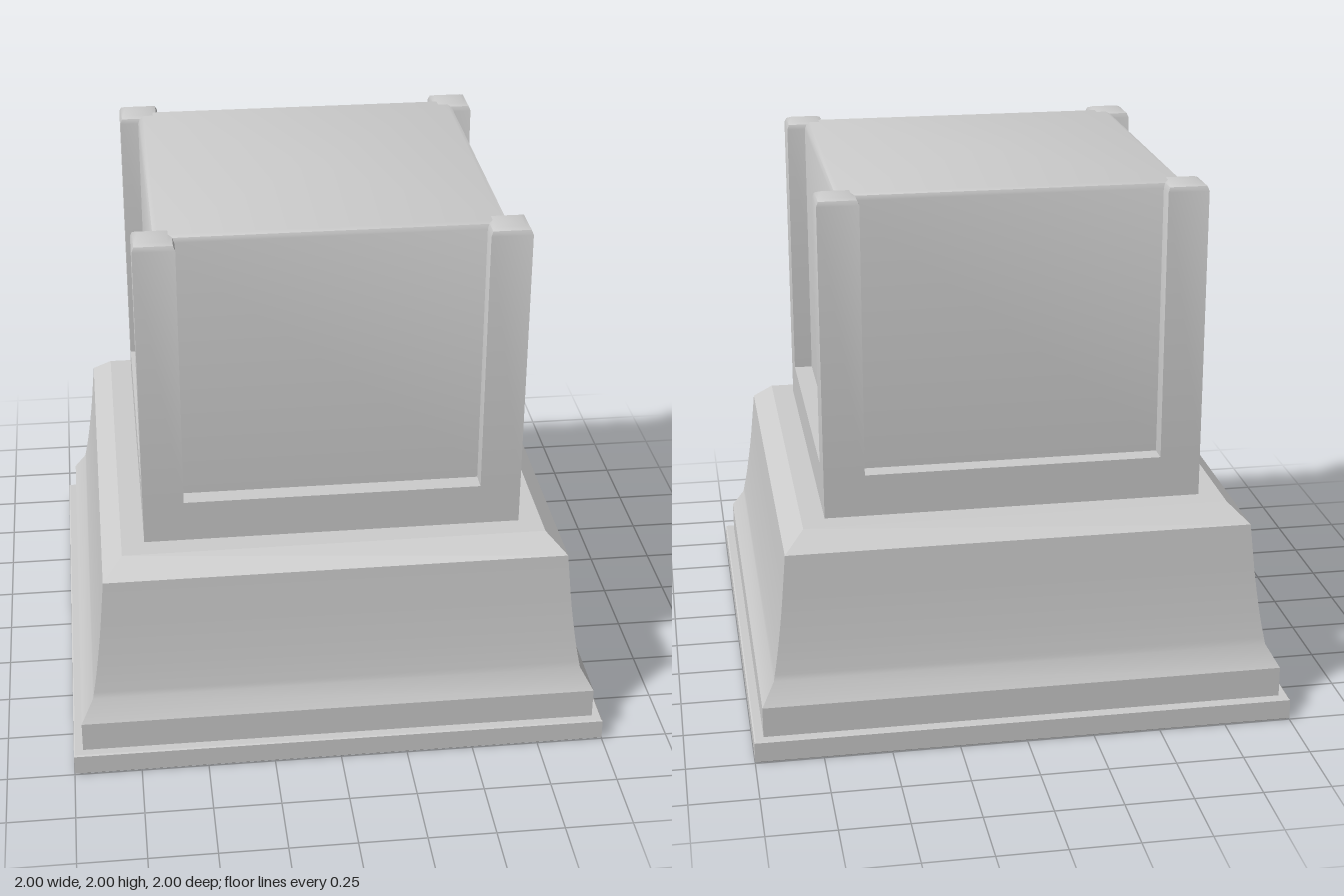
import * as THREE from 'three';
import { toCreasedNormals } from 'three/addons/utils/BufferGeometryUtils.js';

const material = new THREE.MeshStandardMaterial({ color: 0xcccccc });

// Square solid from a profile of [half width, height] pairs, listed bottom to top
function squareSolid(name, profile, crease = 0.4) {
  const points = profile.map(([w, y]) => new THREE.Vector2(w * Math.SQRT2, y));
  const geometry = new THREE.LatheGeometry(points, 4).rotateY(Math.PI / 4);
  const mesh = new THREE.Mesh(toCreasedNormals(geometry, crease), material);
  mesh.name = name;
  return mesh;
}

export function createModel() {
  const model = new THREE.Group();
  model.name = 'pedestal';

  // Flat slab on the ground
  model.add(squareSolid('baseSlab', [
    [0, 0], [0.995, 0], [1, 0.005], [1, 0.08], [0.995, 0.085], [0, 0.085],
  ]));

  // Flared foot: upright step, concave sweep, bevelled shoulder
  const sweep = new THREE.SplineCurve([
    [0.918, 0.28], [0.9, 0.38], [0.88, 0.53], [0.867, 0.66], [0.859, 0.745],
  ].map(([w, y]) => new THREE.Vector2(w, y))).getPoints(12).map((p) => [p.x, p.y]);
  model.add(squareSolid('flaredFoot', [
    [0.965, 0.085], [0.965, 0.2], ...sweep, [0.785, 0.812], [0, 0.812],
  ]));

  // Band under the recessed panels
  model.add(squareSolid('lowerBand', [[0.7, 0.81], [0.7, 0.97], [0, 0.97]]));

  // Block whose four sides are the recessed panels
  model.add(squareSolid('panelBlock', [
    [0.63, 0.96], [0.63, 1.975], [0.623, 1.991], [0.607, 1.998], [0, 1.998],
  ], 0.7));

  // Corner posts with softened tops
  for (const x of [-1, 1]) {
    for (const z of [-1, 1]) {
      const post = squareSolid('cornerPost', [
        [0.075, 0.97], [0.075, 1.975], [0.068, 1.992], [0.05, 2], [0, 2],
      ], 0.7);
      post.position.set(x * 0.625, 0, z * 0.625);
      model.add(post);
    }
  }
  return model;
}
